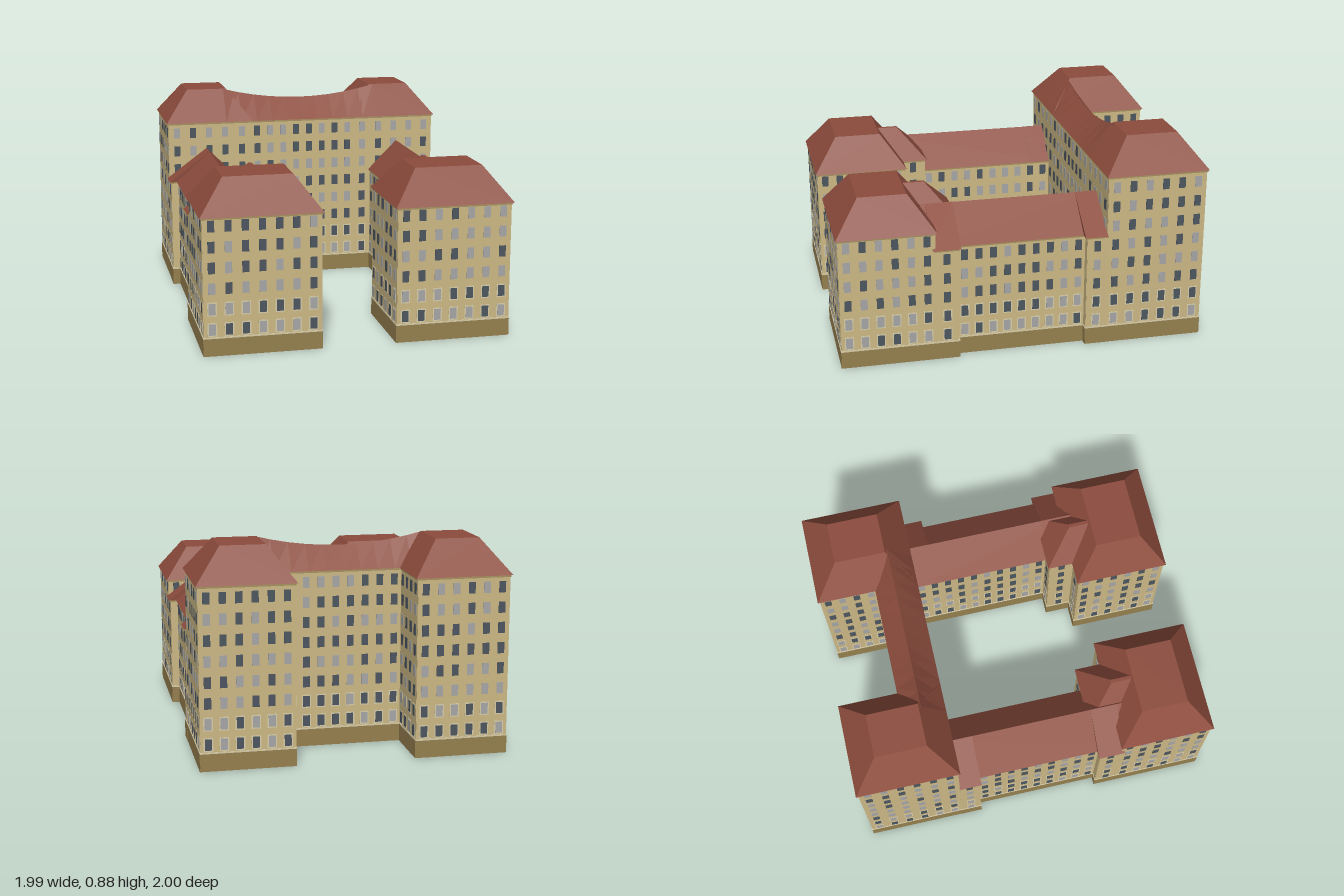
import * as THREE from 'three';
import { mergeGeometries } from 'three/addons/utils/BufferGeometryUtils.js';

const material = (name, color, extra = {}) => {
  const m = new THREE.MeshStandardMaterial({ color, ...extra });
  m.name = name;
  return m;
};

export function createModel() {
  const mats = {
    walls: material('sandWall', 0xcdb985),
    plinth: material('brownPlinth', 0x96804f),
    cornice: material('darkCornice', 0xa8925f),
    frames: material('paleFrame', 0xd9ceaa),
    darkWindows: material('slateGlass', 0x4d5660),
    lightWindows: material('greyGlass', 0xa6a7a6),
    roof: material('redRoof', 0x8c4c3d, { side: THREE.DoubleSide, flatShading: true }),
  };
  const model = new THREE.Group();
  model.name = 'courtyardBuilding';

  let seed = 7;
  const random = () => (seed = (seed * 16807) % 2147483647) / 2147483647;

  // Collects pieces by material and adds them as one named group
  let pieces = {};
  const put = (kind, geo) => (pieces[kind] ??= []).push(geo);
  const finish = (name) => {
    const group = new THREE.Group();
    group.name = name;
    for (const [kind, list] of Object.entries(pieces)) {
      const mesh = new THREE.Mesh(mergeGeometries(list), mats[kind]);
      mesh.name = kind;
      group.add(mesh);
    }
    model.add(group);
    pieces = {};
  };

  // A straight facade from (x0,z0) to (x1,z1), with plinth, cornice and rows of windows
  const wall = (x0, z0, x1, z1, top, bottom = 0) => {
    const length = Math.hypot(x1 - x0, z1 - z0);
    const angle = -Math.atan2(z1 - z0, x1 - x0);
    const panel = (kind, along, y, w, h, depth) => {
      const f = along / length;
      put(kind, new THREE.BoxGeometry(w, h, depth).rotateY(angle)
        .translate(x0 + (x1 - x0) * f, y, z0 + (z1 - z0) * f));
    };
    panel('walls', length / 2, (top + bottom) / 2, length, top - bottom, 0.003);
    panel('cornice', length / 2, top - 0.004, length + 0.006, 0.008, 0.009);
    if (bottom === 0) {
      panel('plinth', length / 2, 0.036, length + 0.004, 0.072, 0.007);
      panel('frames', length / 2, 0.075, length + 0.004, 0.006, 0.008);
    }
    const count = Math.floor(length / 0.06);
    for (let row = 0; row < 8; row++) {
      const y = 0.109 + row * 0.0835;
      if (y + 0.025 > top || y - 0.025 < bottom) continue;
      for (let i = 0; i < count; i++) {
        const along = (i + 0.5) * length / count;
        if (row < 2) panel('frames', along, y, 0.038, 0.056, 0.005);
        panel(random() < 0.58 ? 'darkWindows' : 'lightWindows', along, y, 0.028, 0.046, 0.007);
      }
    }
  };

  // Roof surface made of quads
  const quads = (list) => {
    const p = [];
    for (const [a, b, c, d] of list) p.push(...a, ...b, ...c, ...a, ...c, ...d);
    const g = new THREE.BufferGeometry();
    g.setAttribute('position', new THREE.Float32BufferAttribute(p, 3));
    g.computeVertexNormals();
    put('roof', g);
  };
  const ring = (x0, x1, z0, z1, y) => [[x0, y, z0], [x0, y, z1], [x1, y, z1], [x1, y, z0]];

  // Hipped roof between an eave rectangle and a smaller top rectangle
  const hipRoof = (eave, top) => {
    const a = ring(...eave), b = ring(...top);
    const sides = a.map((p, i) => [p, a[(i + 1) % 4], b[(i + 1) % 4], b[i]]);
    quads([...sides, b]);
  };
  // Two slopes running along x
  const gableRoof = (x0, x1, z0, zr, z1, y0, y1) => quads([
    [[x0, y0, z0], [x1, y0, z0], [x1, y1, zr], [x0, y1, zr]],
    [[x0, y1, zr], [x1, y1, zr], [x1, y0, z1], [x0, y0, z1]],
    [[x1, y0, z0], [x1, y0, z1], [x1, y1, zr], [x1, y1, zr]],
    [[x0, y0, z0], [x0, y0, z1], [x0, y1, zr], [x0, y1, zr]],
  ]);

  const HIGH = 0.74, MID = 0.56, LOW = 0.485;

  for (const m of [-1, 1]) {
    const side = m < 0 ? 'left' : 'right';
    const w = (x0, z0, x1, z1, top, bottom) => wall(x0, m * z0, x1, m * z1, top, bottom);

    // Tall corner tower
    w(-0.767, 0.247, -0.767, 0.628, HIGH);
    w(-0.767, 0.628, -0.35, 0.628, HIGH);
    w(-0.767, 0.247, -0.515, 0.247, HIGH);
    w(-0.35, 0.247, -0.35, 0.33, HIGH);
    w(-0.35, 0.33, -0.35, 0.628, HIGH, 0.47);
    hipRoof([-0.777, -0.34, m * 0.237, m * 0.638, HIGH], [-0.667, -0.45, m * 0.345, m * 0.528, 0.88]);
    finish(side + 'TallTower');

    // Low side wing with a shallow projection at each end
    w(-0.35, 0.33, 0.26, 0.33, LOW);
    w(-0.265, 0.597, 0.275, 0.597, LOW);
    for (const [x0, x1, end] of [[-0.35, -0.265, -0.265], [0.275, 0.37, 0.275]]) {
      w(x0, 0.629, x1, 0.629, LOW);
      w(end, 0.597, end, 0.629, LOW);
    }
    gableRoof(-0.35, 0.4, m * 0.32, m * 0.455, m * 0.607, LOW, 0.62);
    gableRoof(-0.35, -0.255, m * 0.32, m * 0.455, m * 0.64, LOW, 0.621);
    gableRoof(0.265, 0.38, m * 0.32, m * 0.455, m * 0.64, LOW, 0.621);
    finish(side + 'Wing');

    // Front pavilion
    w(0.76, 0.155, 0.76, 0.629, MID);
    w(0.37, 0.155, 0.76, 0.155, MID);
    w(0.37, 0.629, 0.76, 0.629, MID);
    w(0.37, 0.155, 0.37, 0.255, MID);
    w(0.37, 0.49, 0.37, 0.629, MID, 0.47);
    hipRoof([0.36, 0.77, m * 0.145, m * 0.64, MID], [0.465, 0.665, m * 0.25, m * 0.533, 0.7]);
    finish(side + 'FrontPavilion');

    // Short connecting bay behind the pavilion
    w(0.26, 0.255, 0.26, 0.33, MID);
    w(0.26, 0.33, 0.26, 0.49, MID, 0.47);
    w(0.26, 0.255, 0.37, 0.255, MID);
    w(0.26, 0.49, 0.37, 0.49, MID, 0.47);
    hipRoof([0.25, 0.46, m * 0.245, m * 0.5, MID], [0.37, 0.46, m * 0.365, m * 0.38, 0.69]);
    finish(side + 'ConnectingBay');
  }

  // Tall link between the towers, its ridge sagging in the middle
  wall(-0.515, -0.247, -0.515, 0.247, HIGH);
  wall(-0.35, -0.247, -0.35, 0.247, HIGH);
  const steps = 10, strips = [];
  const section = (i) => {
    const k = (i / steps) * 2 - 1, z = k * 0.36;
    return [[-0.525, HIGH, z], [-0.44, 0.832 + 0.048 * k * k, z], [-0.34, HIGH, z]];
  };
  for (let i = 0; i < steps; i++) {
    const a = section(i), b = section(i + 1);
    for (let j = 0; j < 2; j++) strips.push([a[j], a[j + 1], b[j + 1], b[j]]);
  }
  quads(strips);
  finish('rearLink');

  // The plan stands diagonally
  model.rotation.y = -0.817;
  const root = new THREE.Group();
  root.name = 'building';
  root.add(model);
  return root;
}
